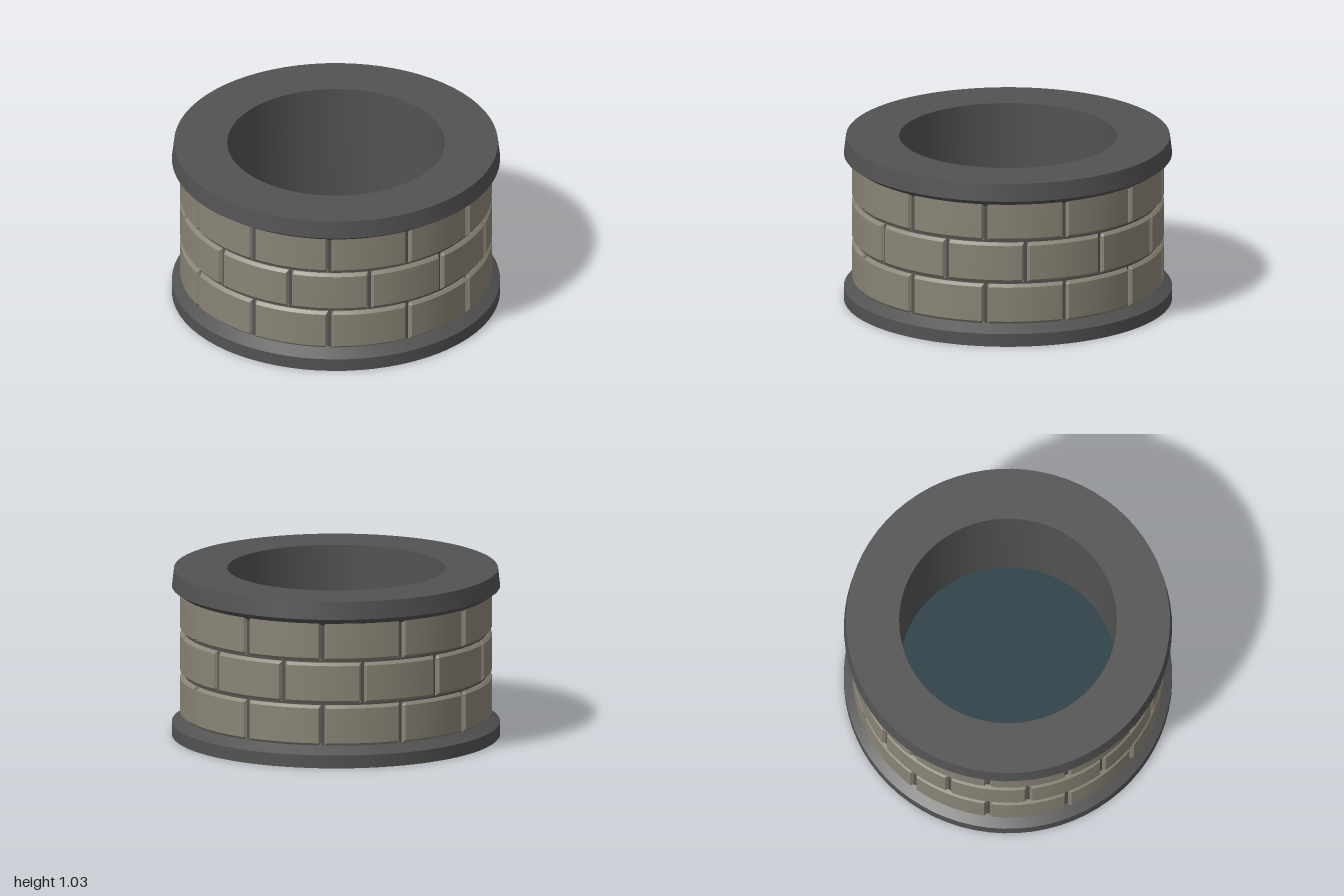
import * as THREE from 'three';
import { toCreasedNormals } from 'three/addons/utils/BufferGeometryUtils.js';

const SEGMENTS = 72;
const BRICKS = 12;
const DEG = Math.PI / 180;

// Closed ring turned from a profile of [radius, y] points, with sharp profile edges
function ring(name, points, material) {
  const profile = points.map(([r, y]) => new THREE.Vector2(r, y));
  const geometry = toCreasedNormals(new THREE.LatheGeometry(profile, SEGMENTS), 0.4);
  const mesh = new THREE.Mesh(geometry, material);
  mesh.name = name;
  return mesh;
}

// Curved brick with bevelled face, centred on angle 0 (facing +z)
function brickGeometry(height) {
  const inner = 0.9, shoulder = 0.932, face = 0.95, bevel = 0.017;
  const half = Math.PI / BRICKS - 0.011;
  const flat = half - 0.014;
  const profile = [
    [inner, 0], [shoulder, 0], [face, bevel],
    [face, height - bevel], [shoulder, height], [inner, height],
  ];
  // Each section is [angle, largest radius]; the ends taper to close the brick
  const sections = [[-half, inner], [-half, shoulder]];
  for (let i = 0; i <= 8; i++) sections.push([-flat + (2 * flat * i) / 8, face]);
  sections.push([half, shoulder], [half, inner]);

  const positions = [], index = [];
  for (const [angle, limit] of sections) {
    for (const [radius, y] of profile) {
      const r = Math.min(radius, limit);
      positions.push(r * Math.sin(angle), y, r * Math.cos(angle));
    }
  }
  const n = profile.length;
  for (let s = 0; s < sections.length - 1; s++) {
    for (let p = 0; p < n - 1; p++) {
      const a = s * n + p, b = a + n;
      index.push(a, b, b + 1, a, b + 1, a + 1);
    }
  }
  const geometry = new THREE.BufferGeometry();
  geometry.setAttribute('position', new THREE.Float32BufferAttribute(positions, 3));
  geometry.setIndex(index);
  return toCreasedNormals(geometry, 0.4);
}

export function createModel() {
  const model = new THREE.Group();
  model.name = 'stoneWell';

  const stone = new THREE.MeshStandardMaterial({ color: 0x525252 });
  stone.name = 'dark grey stone';
  const brick = new THREE.MeshStandardMaterial({ color: 0x8a8476 });
  brick.name = 'warm grey brick';
  const waterColour = new THREE.MeshStandardMaterial({ color: 0x263c43, side: THREE.DoubleSide });
  waterColour.name = 'deep teal water';

  // Base, mortar core, overhanging rim and inner wall as one turned body
  model.add(ring('wellBody', [
    [0.66, 0], [1, 0], [1, 0.08], [0.925, 0.127],
    [0.925, 0.873], [1, 0.925], [0.987, 1.035], [0.663, 1.035], [0.66, 0],
  ], stone));

  // Three courses of bricks, the middle one shifted by half a brick
  const geometry = brickGeometry(0.251);
  for (let row = 0; row < 3; row++) {
    const course = new THREE.Group();
    course.name = `brickCourse${row + 1}`;
    course.position.y = 0.127 + row * 0.265;
    for (let i = 0; i < BRICKS; i++) {
      const block = new THREE.Mesh(geometry, brick);
      block.name = 'brick';
      block.rotation.y = (i * 30 + (row === 1 ? 0 : 15) - 0.8) * DEG;
      course.add(block);
    }
    model.add(course);
  }

  // Water surface low inside the shaft
  const water = new THREE.Mesh(new THREE.CircleGeometry(0.661, SEGMENTS), waterColour);
  water.name = 'water';
  water.rotation.x = -Math.PI / 2;
  water.position.y = 0.175;
  model.add(water);

  return model;
}
